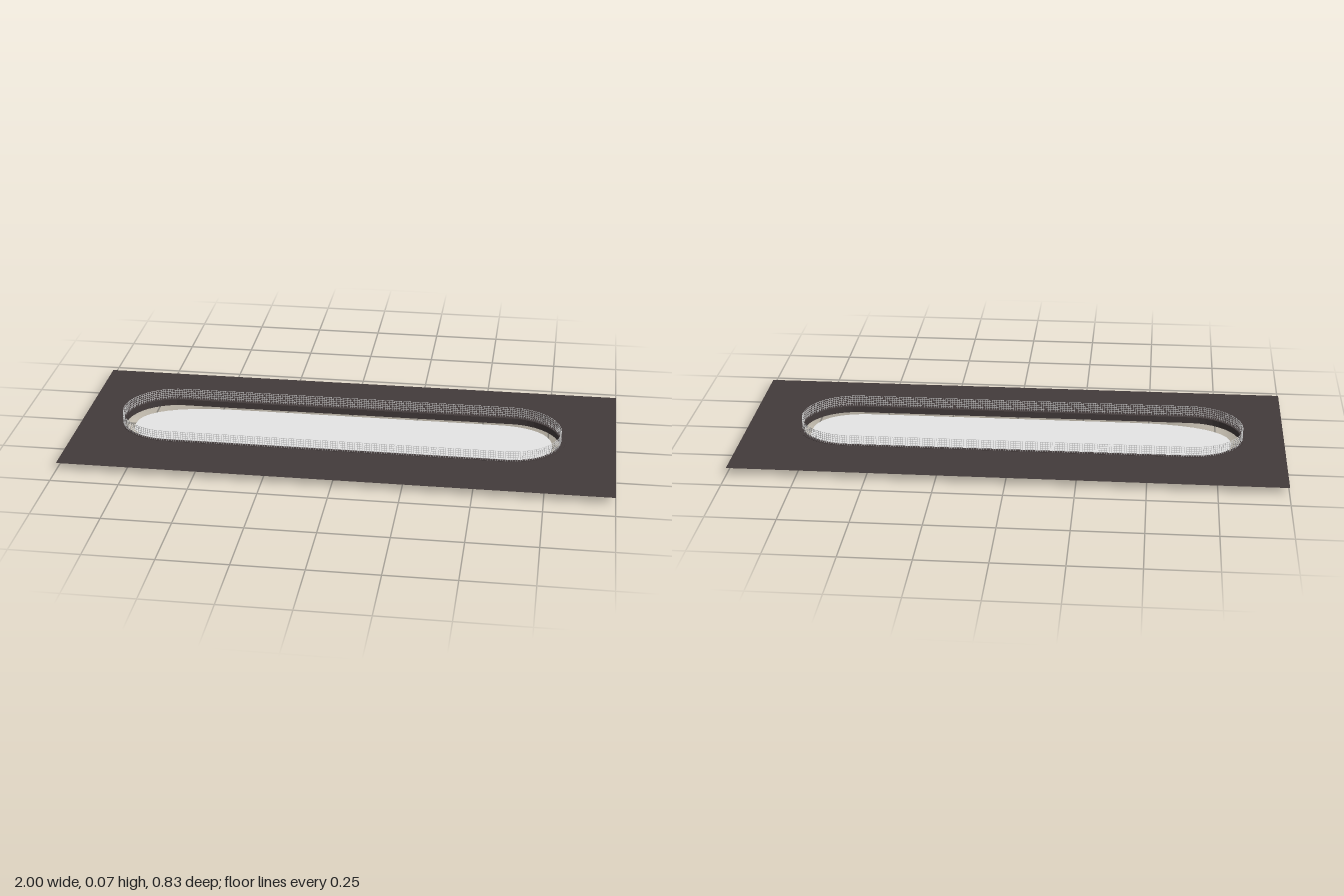
import * as THREE from 'three';
import { mergeGeometries } from 'three/addons/utils/BufferGeometryUtils.js';

const mat = (name, color, side = THREE.FrontSide) => {
  const m = new THREE.MeshStandardMaterial({ color, side });
  m.name = name;
  return m;
};

// Closed oblong: straight sides at z = +-w, rounded ends with their own lengths and fullness.
function oblong(x0, x1, w, endL, endR, power = 2, n = 20) {
  const pts = [];
  const end = (cx, len, start) => {
    for (let i = 0; i <= n; i++) {
      const a = start + (Math.PI * i) / n;
      const c = Math.cos(a), s = Math.sin(a);
      pts.push(new THREE.Vector2(
        cx + len * Math.sign(c) * Math.abs(c) ** (2 / power),
        w * Math.sign(s) * Math.abs(s) ** (2 / power)));
    }
  };
  end(x1 - endR, endR, -Math.PI / 2);
  end(x0 + endL, endL, Math.PI / 2);
  return pts;
}

// Lay a shape drawn in x/z flat, facing up.
const flat = (geo, y) => geo.rotateX(-Math.PI / 2).translate(0, y, 0);

export function createModel() {
  const group = new THREE.Group();
  const ground = mat('dark ground', 0x433b3b, THREE.DoubleSide);
  const pale = mat('pale floor', 0xe6e6e6, THREE.DoubleSide);
  const wire = mat('light wire', 0xd4d4d4);
  const add = (name, geo, material) => {
    const m = new THREE.Mesh(geo, material);
    m.name = name;
    group.add(m);
  };

  // Ground sheet level with the kerb top, with an oblong opening
  const sheet = new THREE.Shape([[-1, -0.415], [1, -0.415], [1, 0.415], [-1, 0.415]]
    .map(([x, y]) => new THREE.Vector2(x, y)));
  sheet.holes.push(new THREE.Path(oblong(-0.848, 0.804, 0.181, 0.19, 0.19)));
  add('groundSheet', flat(new THREE.ShapeGeometry(sheet), 0.027), ground);

  // Kerb lining the opening
  const ring = new THREE.Shape(oblong(-0.855, 0.815, 0.188, 0.2, 0.2));
  ring.holes.push(new THREE.Path(oblong(-0.842, 0.795, 0.174, 0.185, 0.185)));
  add('kerb', flat(new THREE.ExtrudeGeometry(ring, { depth: 0.0235, bevelEnabled: false }), 0.0045), ground);

  // Sunken floor, slightly shorter than the opening
  add('floor', flat(new THREE.ShapeGeometry(new THREE.Shape(
    oblong(-0.807, 0.767, 0.168, 0.38, 0.22, 2.4))), 0), pale);

  // Wire fence standing on the kerb: fine uprights
  const path = oblong(-0.849, 0.799, 0.187, 0.197, 0.195);
  const line = new THREE.CurvePath();
  path.forEach((p, i) => line.add(new THREE.LineCurve(p, path[(i + 1) % path.length])));
  const count = Math.round(line.getLength() / 0.009);
  const wires = [];
  for (let i = 0; i < count; i++) {
    const p = line.getPointAt(i / count), t = line.getTangentAt(i / count);
    wires.push(new THREE.BoxGeometry(0.0016, 0.04, 0.001)
      .rotateY(Math.atan2(t.y, t.x))
      .translate(p.x, 0.048, -p.y));
  }
  add('fenceUprights', mergeGeometries(wires), wire);

  // Level strands of the fence
  const strands = [];
  path.forEach((p, i) => {
    const q = path[(i + 1) % path.length];
    const d = q.clone().sub(p);
    for (let k = 0; k < 5; k++) {
      strands.push(new THREE.BoxGeometry(d.length(), 0.0012, 0.001)
        .rotateY(Math.atan2(d.y, d.x))
        .translate((p.x + q.x) / 2, 0.0354 + k * 0.008, -(p.y + q.y) / 2));
    }
  });
  add('fenceStrands', mergeGeometries(strands), wire);

  return group;
}
